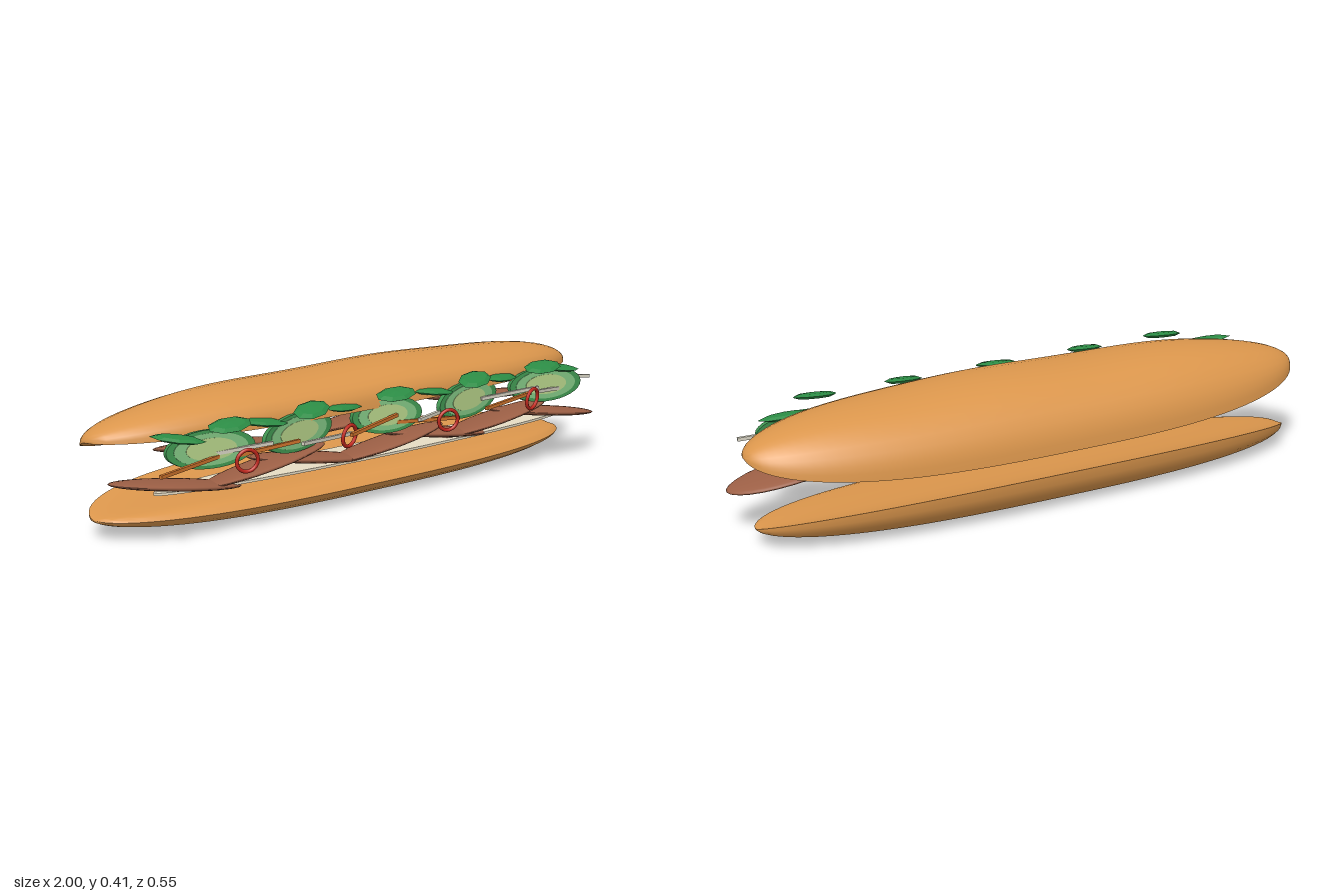
import * as THREE from 'three';
import { toCreasedNormals } from 'three/addons/utils/BufferGeometryUtils.js';

const mat = (name, color, extra = {}) => Object.assign(new THREE.MeshStandardMaterial({ color, ...extra }), { name });

// Loaf half: one closed cross-section [z, y], shrunk towards both rounded ends.
function breadGeometry(outer, inner, centre, x0, x1, wobble) {
  const sample = (pts, n) => new THREE.CatmullRomCurve3(pts.map(([z, y]) => new THREE.Vector3(0, y, z))).getPoints(n);
  const section = [...sample(outer, 16).slice(0, -1), ...sample(inner, 10).slice(0, -1)];
  const rows = 48, n = section.length, pos = [], index = [];
  for (let i = 0; i <= rows; i++) {
    const u = -Math.cos(Math.PI * i / rows);
    const s = Math.sqrt(Math.max(0, 1 - Math.abs(u) ** 2.8));
    const x = (x0 + x1) / 2 + u * (x1 - x0) / 2;
    for (const p of section) {
      const lift = p.y > centre[1] ? 1 + wobble * Math.sin(x * 9 + 0.3) : 1;
      pos.push(x, centre[1] + (p.y - centre[1]) * s * lift, centre[0] + (p.z - centre[0]) * s);
    }
  }
  for (let i = 0; i < rows; i++) for (let j = 0; j < n; j++) {
    const k = (j + 1) % n, a = i * n + j, b = a + n, c = i * n + k, d = c + n;
    index.push(a, b, c, b, d, c);
  }
  const g = new THREE.BufferGeometry();
  g.setAttribute('position', new THREE.Float32BufferAttribute(pos, 3));
  g.setIndex(index);
  return toCreasedNormals(g, 0.8);
}

export function createModel() {
  const root = new THREE.Group();
  root.name = 'filledBaguette';
  const M = {
    bread: mat('breadCrust', 0xdb964c),
    meat: mat('meat', 0x9c5f45),
    spread: mat('creamSpread', 0xe6dcc4),
    rind: mat('cucumberRind', 0x3f9450),
    flesh: mat('cucumberFlesh', 0x7fc080),
    seeds: mat('cucumberCore', 0xb2cd86),
    leaf: mat('herbLeaf', 0x2c8c45, { flatShading: true }),
    carrot: mat('carrot', 0xcf732c),
    radish: mat('radish', 0xd6d2c2),
    chili: mat('chili', 0xc4281e),
  };
  const add = (name, geo, material, p, r = [0, 0, 0], s = [1, 1, 1], parent = root) => {
    const m = new THREE.Mesh(geo, material);
    m.name = name;
    m.position.set(...p);
    m.rotation.set(...r);
    m.scale.set(...s);
    parent.add(m);
    return m;
  };

  // Bread halves
  add('topBread', breadGeometry(
    [[0.172, 0.3], [0.16, 0.35], [0.11, 0.388], [0.03, 0.41], [-0.06, 0.41], [-0.15, 0.388], [-0.23, 0.33], [-0.268, 0.265], [-0.278, 0.205]],
    [[-0.278, 0.205], [-0.22, 0.217], [-0.14, 0.247], [-0.06, 0.27], [0.06, 0.281], [0.172, 0.3]],
    [-0.06, 0.295], -0.99, 0.99, 0.025), M.bread, [0, 0, 0]);
  add('bottomBread', breadGeometry(
    [[0.166, 0.056], [0.13, 0.082], [0.04, 0.093], [-0.08, 0.1], [-0.18, 0.11], [-0.257, 0.127]],
    [[-0.257, 0.127], [-0.25, 0.08], [-0.21, 0.03], [-0.12, 0.006], [-0.02, 0.002], [0.08, 0.01], [0.14, 0.028], [0.166, 0.056]],
    [-0.045, 0.06], -0.975, 0.955, 0), M.bread, [0, 0, 0]);

  // Thin spread under the meat
  add('spread', new THREE.CylinderGeometry(1, 1, 0.008, 40), M.spread, [0, 0.145, 0.09], [0, 0, 0], [0.85, 1, 0.085]);

  // Overlapping meat slices: centre x, y, z and slope
  const slice = new THREE.SphereGeometry(1, 28, 14);
  [[-0.78, 0.165, 0.105, -0.16], [-0.47, 0.18, 0.13, 0.14], [-0.27, 0.165, 0.1, -0.15], [0.03, 0.17, 0.125, 0.13],
   [0.26, 0.165, 0.1, -0.14], [0.5, 0.18, 0.13, 0.13], [0.75, 0.165, 0.11, -0.15]].forEach(([x, y, z, a], i) =>
    add('meatSlice', slice, M.meat, [x, y, z], [i % 2 ? -0.15 : -0.06, 0, a], [0.235, 0.016, 0.092]));
  [-0.55, 0, 0.55].forEach((x, i) =>
    add('rearMeatSlice', slice, M.meat, [x, 0.235, 0.015], [-0.15, 0, i % 2 ? 0.08 : -0.08], [0.24, 0.016, 0.085]));

  // Oval cucumber slices with painted flesh and core on both faces
  const disc = new THREE.CylinderGeometry(1, 1, 1, 32).rotateX(Math.PI / 2);
  [-0.7, -0.37, -0.01, 0.34, 0.7].forEach((x, i) => {
    const g = new THREE.Group();
    g.name = 'cucumberSlice';
    g.position.set(x, 0.273, 0.168);
    g.rotation.set(-0.1, i % 2 ? 0.15 : -0.13, i % 2 ? 0.05 : -0.04);
    const k = i === 2 ? 0.88 : 1;
    add('rind', disc, M.rind, [0, 0, 0], [0, 0, 0], [0.15 * k, 0.058, 0.016], g);
    add('flesh', disc, M.flesh, [0, 0, 0], [0, 0, 0], [0.125 * k, 0.048, 0.019], g);
    add('core', disc, M.seeds, [0, 0, 0], [0, 0, 0], [0.085 * k, 0.033, 0.022], g);
    root.add(g);
  });

  // Vegetable sticks: centre, yaw, slope, length
  const stick = new THREE.BoxGeometry(1, 0.011, 0.011);
  const sticks = (name, material, list) => list.forEach(([x, y, z, yaw, slope, len]) =>
    add(name, stick, material, [x, y, z], [0, yaw, slope], [len, 1, 1]));
  sticks('carrotStick', M.carrot, [
    [-0.78, 0.243, 0.2, 0.2, 0.05, 0.29], [-0.52, 0.25, 0.2, -0.15, 0.08, 0.24], [-0.1, 0.262, 0.215, 0.22, 0.08, 0.24],
    [0.14, 0.24, 0.2, -0.15, -0.06, 0.24], [0.5, 0.25, 0.2, 0.15, 0.05, 0.24]]);
  sticks('radishStick', M.radish, [
    [-0.62, 0.262, 0.19, -0.2, 0.05, 0.24], [-0.28, 0.245, 0.205, 0.2, -0.05, 0.24], [0.2, 0.255, 0.19, 0.2, 0.06, 0.22],
    [0.52, 0.27, 0.185, -0.12, 0.04, 0.24], [0.74, 0.255, 0.185, 0.2, -0.08, 0.24], [0.82, 0.28, 0.145, -0.25, -0.08, 0.2]]);

  // Chili rings
  const ring = new THREE.TorusGeometry(0.034, 0.006, 8, 24);
  [[-0.61, 0.234], [-0.215, 0.248], [0.2, 0.235], [0.58, 0.25]].forEach(([x, y], i) =>
    add('chiliRing', ring, M.chili, [x, y, 0.23], [0.12, i % 2 ? 0.25 : -0.25, 0]));

  // Faceted herb leaves, an upper front row and a lower rear row
  const leaf = new THREE.SphereGeometry(1, 8, 4);
  [-0.67, -0.36, -0.02, 0.32, 0.63].forEach((x, i) =>
    add('herbLeaf', leaf, M.leaf, [x, 0.35, 0.225], [0.22, i % 2 ? 0.4 : 0.1, 0.06], [0.078, 0.011, 0.047]));
  [[-0.82, 0.175, -0.5], [-0.5, 0.16, -0.3], [-0.18, 0.165, 0.3], [0.18, 0.165, -0.3], [0.5, 0.165, 0.3], [0.76, 0.165, -0.35]].forEach(([x, z, yaw]) =>
    add('herbLeaf', leaf, M.leaf, [x, 0.322, z], [0.1, yaw, -0.1], [0.085, 0.01, 0.038]));

  return root;
}
